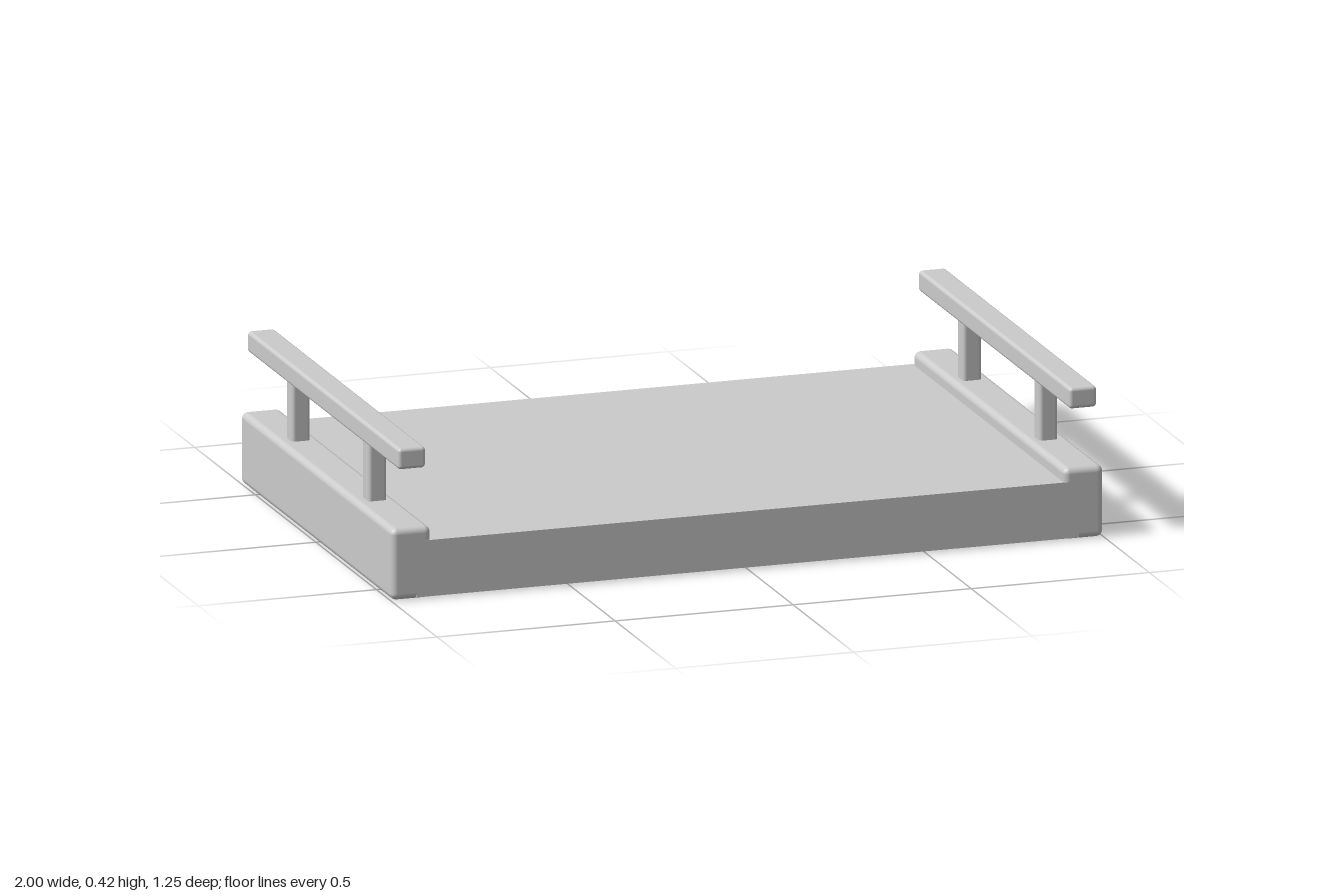
import * as THREE from 'three';
import { RoundedBoxGeometry } from 'three/addons/geometries/RoundedBoxGeometry.js';

const material = new THREE.MeshStandardMaterial({ color: 0xcccccc });

function addPart(parent, name, geometry, x, y, z) {
  const mesh = new THREE.Mesh(geometry, material);
  mesh.name = name;
  mesh.position.set(x, y, z);
  parent.add(mesh);
}

export function createModel() {
  const tray = new THREE.Group();
  tray.name = 'servingTray';

  // Flat sharp-edged board between the two end rails
  addPart(tray, 'board', new THREE.BoxGeometry(1.86, 0.155, 1.25), 0, 0.0825, 0);

  // Softly rounded rail, two posts and a grip bar at each end
  const rail = new RoundedBoxGeometry(0.112, 0.198, 1.25, 3, 0.018);
  const post = new RoundedBoxGeometry(0.052, 0.2, 0.052, 3, 0.01);
  const grip = new RoundedBoxGeometry(0.077, 0.058, 1.25, 3, 0.01);
  for (const [side, label] of [[1, 'left'], [-1, 'right']]) {
    const end = new THREE.Group();
    end.name = label + 'End';
    addPart(end, label + 'Rail', rail, side * 0.944, 0.099, 0);
    addPart(end, label + 'FrontPost', post, side * 0.942, 0.28, 0.315);
    addPart(end, label + 'BackPost', post, side * 0.942, 0.28, -0.315);
    addPart(end, label + 'Grip', grip, side * 0.942, 0.389, 0);
    tray.add(end);
  }
  return tray;
}
